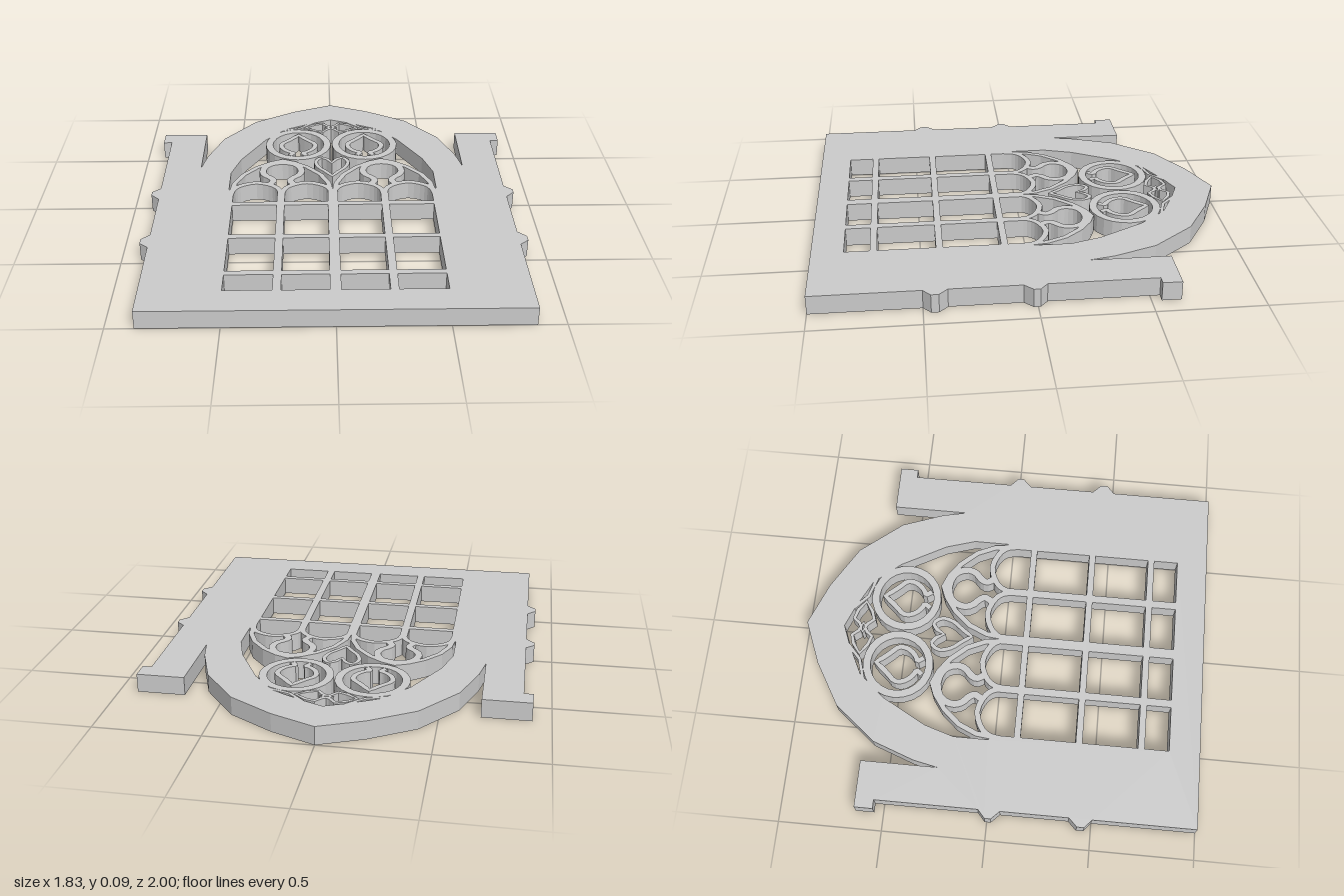
import * as THREE from 'three';

const DEPTH = 0.09;
const material = new THREE.MeshStandardMaterial({ color: 0xcccccc, flatShading: true, side: THREE.DoubleSide });
const vec = (list) => list.map(([x, y]) => new THREE.Vector2(x, y));
const mirror = (list) => list.map(([x, y]) => [-x, y]);

// Half outline from one end on the axis side, completed by its mirror image
const symmetric = (half) => {
  const other = mirror(half).reverse();
  return half.concat(half[half.length - 1][0] === 0 ? other.slice(1) : other);
};

export function createModel() {
  const group = new THREE.Group();
  group.name = 'tracedWindow';

  // Plan shapes are drawn in (x, -z) and raised along y
  function slab(name, shape) {
    const geometry = new THREE.ExtrudeGeometry(shape, { depth: DEPTH, bevelEnabled: false });
    geometry.rotateX(-Math.PI / 2);
    const mesh = new THREE.Mesh(geometry, material);
    mesh.name = name;
    group.add(mesh);
  }

  function bar(name, x0, x1, y0, y1) {
    slab(name, new THREE.Shape(vec([[x0, y0], [x1, y0], [x1, y1], [x0, y1]])));
  }

  // Stone rib of even width along an open or closed line
  function rib(name, list, width, closed = false) {
    const pts = vec(list), n = pts.length;
    const offset = (d) => pts.map((p, i) => {
      const a = pts[closed ? (i + n - 1) % n : Math.max(i - 1, 0)];
      const b = pts[closed ? (i + 1) % n : Math.min(i + 1, n - 1)];
      const t = b.clone().sub(a).normalize();
      return new THREE.Vector2(p.x - t.y * d, p.y + t.x * d);
    });
    let outer = offset(width / 2), inner = offset(-width / 2);
    if (!closed) return slab(name, new THREE.Shape(outer.concat(inner.reverse())));
    const area = (c) => Math.abs(THREE.ShapeUtils.area(c));
    if (area(inner) > area(outer)) [outer, inner] = [inner, outer];
    const shape = new THREE.Shape(outer);
    shape.holes.push(new THREE.Path(inner));
    slab(name, shape);
  }

  const smooth = (list, count) => new THREE.SplineCurve(vec(list)).getPoints(count).map((p) => [p.x, p.y]);
  const shift = (list, dx) => list.map(([x, y]) => [x + dx, y]);

  // Piers, sill and pointed arch in one piece
  const frame = new THREE.Shape(vec(symmetric([
    [0.87, -1], [0.87, -0.5], [0.91, -0.465], [0.91, -0.43], [0.87, -0.39],
    [0.87, -0.06], [0.91, -0.02], [0.91, 0.01], [0.87, 0.045],
    [0.87, 0.545], [0.913, 0.545], [0.913, 0.635], [0.685, 0.635], [0.685, 0.26],
    [0.66, 0.38], [0.585, 0.585], [0.42, 0.79], [0.21, 0.915], [0, 1],
  ])));
  frame.holes.push(new THREE.Path(vec(symmetric([
    [0.5, -0.85], [0.5, 0], [0.525, 0.03], [0.525, 0.2], [0.48, 0.345],
    [0.36, 0.565], [0.25, 0.695], [0.1, 0.77], [0, 0.81],
  ]))));
  slab('frame', frame);

  // Glazing bars and mullions
  for (const y of [-0.11, -0.412, -0.715]) bar('crossBar', -0.51, 0.51, y - 0.016, y + 0.016);
  bar('centreMullion', -0.025, 0.025, -0.86, 0.02);
  for (const x of [-0.26, 0.26]) bar('sideMullion', x - 0.019, x + 0.019, -0.86, 0.02);

  // Heads of the four lights
  const head = smooth(symmetric([[0.127, -0.03], [0.115, 0.03], [0.075, 0.072], [0, 0.097]]), 14);
  for (const x of [-0.387, -0.13, 0.13, 0.387]) rib('lightHead', shift(head, x), 0.028);

  // Tracery repeated on both sides
  const subArch = symmetric([[0.25, 0], [0.24, 0.09], [0.2, 0.18], [0.13, 0.26], [0.06, 0.31], [0, 0.335]]);
  const horseshoe = smooth(symmetric([
    [0.06, 0.085], [0.043, 0.115], [0.055, 0.145], [0.09, 0.18], [0.1, 0.23], [0.07, 0.285], [0, 0.307],
  ]), 26);
  const dropHalf = smooth([
    [0.045, 0.39], [0.025, 0.42], [0.05, 0.432], [0.083, 0.47], [0.09, 0.52], [0.05, 0.565], [0, 0.625],
  ], 14);
  const drop = symmetric(dropHalf);
  const circle = Array.from({ length: 24 }, (_, i) => {
    const a = (i / 24) * Math.PI * 2;
    return [0.157 * Math.cos(a), 0.515 + 0.157 * Math.sin(a)];
  });
  const teardrop = [
    [-0.025, 0.715], [0.02, 0.735], [0.045, 0.765], [0.09, 0.752], [0.14, 0.715],
    [0.09, 0.68], [0.045, 0.665], [0.02, 0.695],
  ];
  for (const side of [-1, 1]) {
    const place = (list, dx) => (side > 0 ? shift(list, dx) : mirror(shift(list, dx)));
    rib('subArch', place(subArch, 0.26), 0.026);
    rib('horseshoe', place(horseshoe, 0.26), 0.035);
    rib('roundel', place(circle, 0.179), 0.038, true);
    rib('roundelDrop', place(drop, 0.179), 0.026);
    rib('crownTeardrop', place(teardrop, 0), 0.018, true);
    rib('crownRib', place([[0.27, 0.68], [0.17, 0.71], [0.1, 0.775]], 0), 0.016);
  }

  // Heart between the two roundels
  const heartHalf = smooth([
    [0, 0.165], [0.035, 0.215], [0.07, 0.26], [0.085, 0.32], [0.055, 0.362], [0.02, 0.34],
  ], 12);
  const heart = heartHalf.concat([[0, 0.305]], mirror(heartHalf.slice(1)).reverse());
  rib('heart', heart, 0.02, true);

  return group;
}
